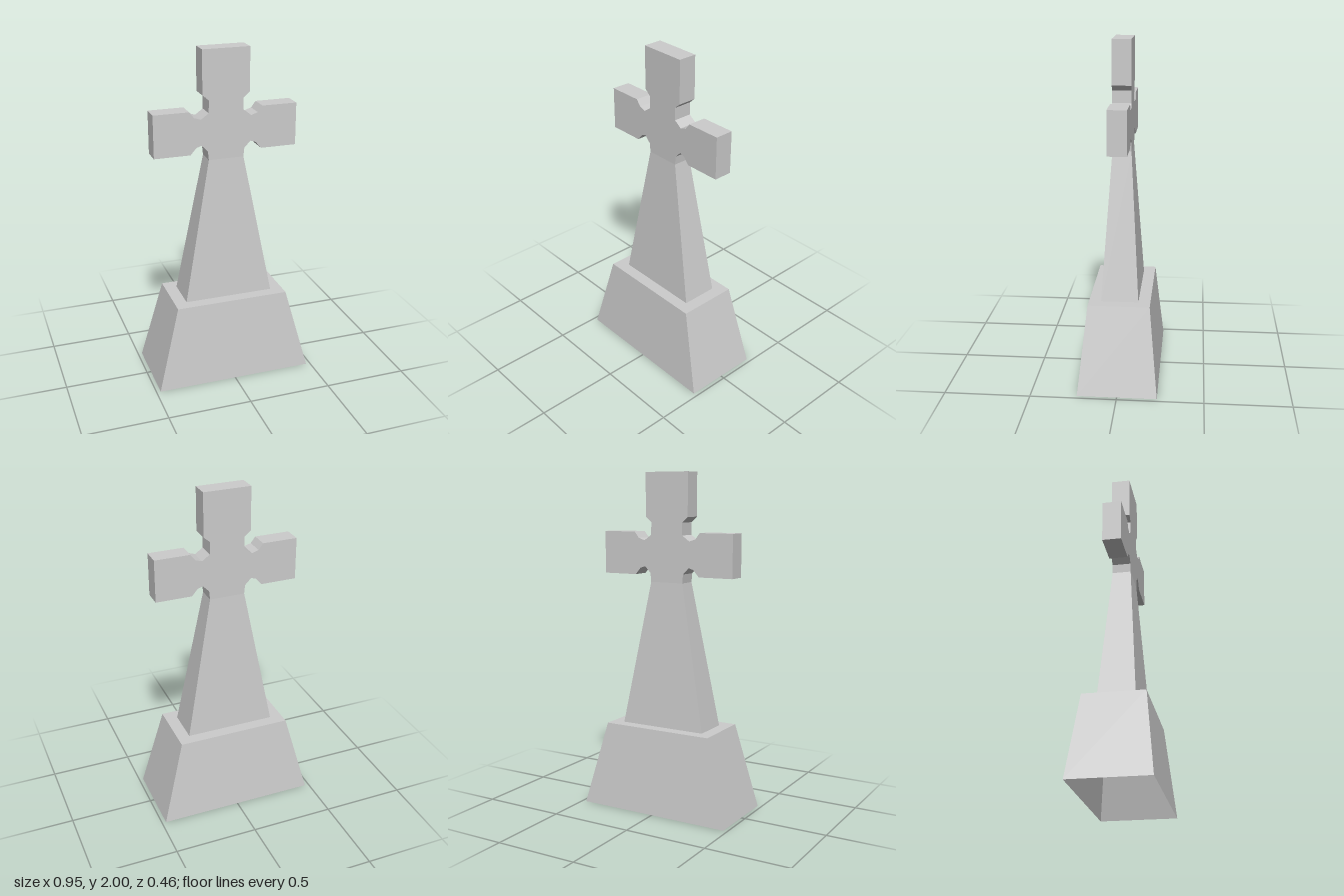
import * as THREE from 'three';

const material = new THREE.MeshStandardMaterial({ color: 0xcccccc, flatShading: true, side: THREE.DoubleSide });

// Open loft through rectangular rings given as [y, halfWidth, halfDepth]
function rectLoft(name, rings) {
  const corners = [[-1, 1], [1, 1], [1, -1], [-1, -1]];
  const point = ([y, hx, hz], i) => [corners[i % 4][0] * hx, y, corners[i % 4][1] * hz];
  const positions = [];
  for (let r = 0; r < rings.length - 1; r++) {
    for (let i = 0; i < 4; i++) {
      const a = point(rings[r], i), b = point(rings[r], i + 1);
      const c = point(rings[r + 1], i + 1), d = point(rings[r + 1], i);
      positions.push(...a, ...b, ...c, ...a, ...c, ...d);
    }
  }
  const geometry = new THREE.BufferGeometry();
  geometry.setAttribute('position', new THREE.Float32BufferAttribute(positions, 3));
  geometry.computeVertexNormals();
  const mesh = new THREE.Mesh(geometry, material);
  mesh.name = name;
  return mesh;
}

// Cross head with a notch in each inner corner; half outline from bottom to top
function crossHead() {
  const half = [
    [0.105, 1.365], [0.11, 1.417], [0.147, 1.455], [0.178, 1.445], [0.213, 1.405],
    [0.427, 1.405], [0.427, 1.656], [0.218, 1.656], [0.19, 1.62], [0.15, 1.607],
    [0.104, 1.64], [0.103, 1.713], [0.14, 1.745], [0.14, 2],
  ];
  const mirrored = half.map(([x, y]) => [-x, y]).reverse();
  const shape = new THREE.Shape([...half, ...mirrored].map(([x, y]) => new THREE.Vector2(x, y)));
  const depth = 0.11;
  const geometry = new THREE.ExtrudeGeometry(shape, { depth, bevelEnabled: false });
  geometry.translate(0, 0, -depth / 2);
  const mesh = new THREE.Mesh(geometry, material);
  mesh.name = 'crossHead';
  return mesh;
}

export function createModel() {
  const group = new THREE.Group();
  group.name = 'stoneCross';
  // Sloped plinth with a flat ledge, open underneath
  group.add(rectLoft('plinth', [[0, 0.475, 0.231], [0.507, 0.341, 0.179], [0.507, 0.268, 0.109]]));
  // Tapered shaft
  group.add(rectLoft('shaft', [[0.507, 0.268, 0.109], [1.365, 0.105, 0.055]]));
  group.add(crossHead());
  return group;
}
